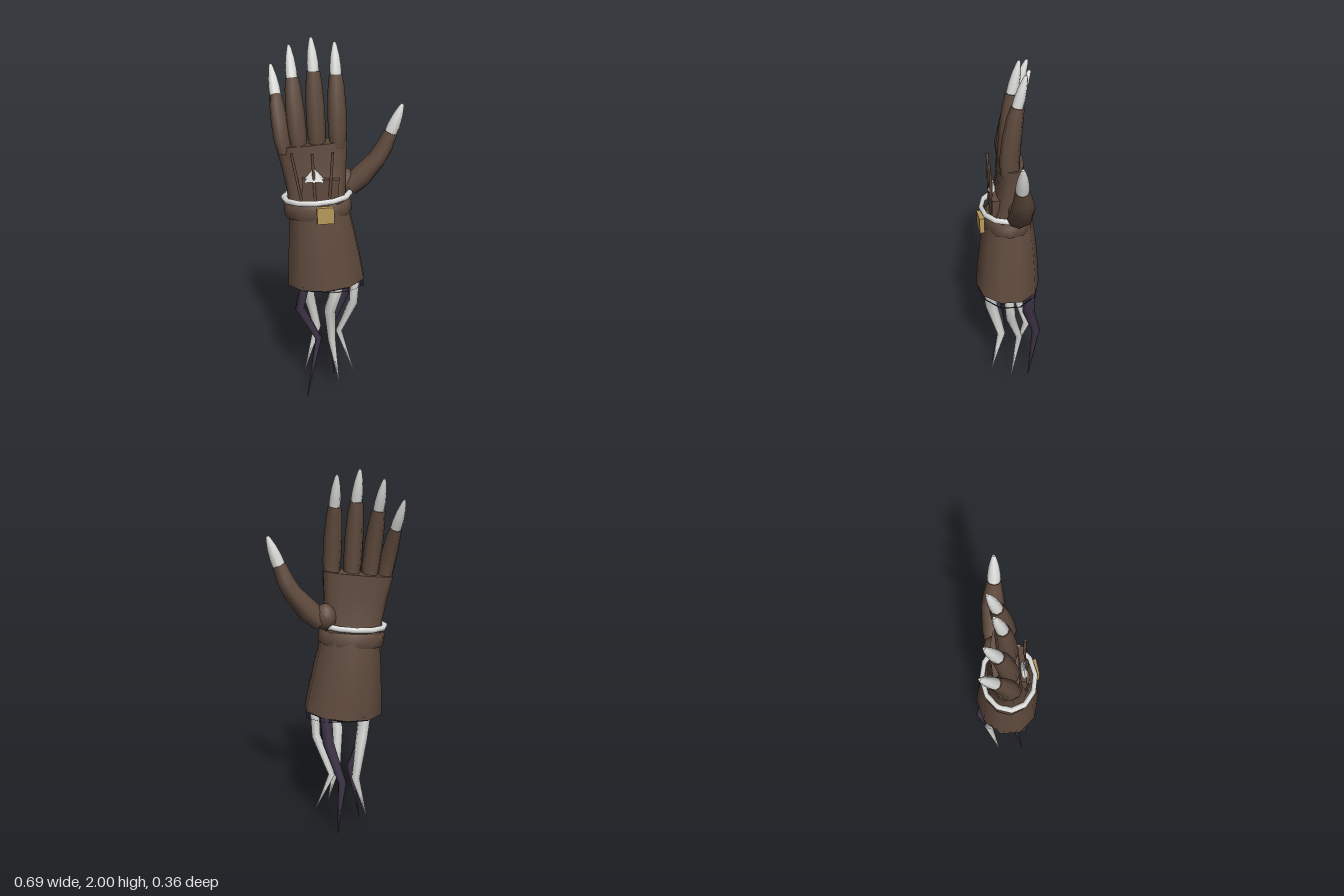
import * as THREE from 'three';

const mat = (name, color, side = THREE.FrontSide) => {
  const m = new THREE.MeshStandardMaterial({ color, side });
  m.name = name;
  return m;
};

// Skin of rings square to a path. Each section is [x, y, z, width radius, depth radius].
function loft(sections, sides = 10, { square = 1, caps = true } = {}) {
  const centers = sections.map(s => new THREE.Vector3(s[0], s[1], s[2]));
  const pos = [], idx = [], last = sections.length - 1;
  const Z = new THREE.Vector3(0, 0, 1);
  const pw = v => Math.sign(v) * Math.pow(Math.abs(v), square);
  const rings = sections.map((s, i) => {
    const t = centers[Math.min(i + 1, last)].clone().sub(centers[Math.max(i - 1, 0)]).normalize();
    const u = t.clone().cross(Z).normalize();
    const v = u.clone().cross(t);
    return Array.from({ length: sides }, (_, j) => {
      const a = Math.PI / 2 + j / sides * Math.PI * 2;
      return centers[i].clone().addScaledVector(u, pw(Math.cos(a)) * s[3])
        .addScaledVector(v, pw(Math.sin(a)) * (s[4] ?? s[3]));
    });
  });
  rings.forEach(r => r.forEach(p => pos.push(p.x, p.y, p.z)));
  for (let i = 0; i < last; i++) for (let j = 0; j < sides; j++) {
    const a = i * sides + j, b = i * sides + (j + 1) % sides;
    idx.push(a, a + sides, b, b, a + sides, b + sides);
  }
  // Caps get their own corners so their edges stay sharp
  if (caps) for (const end of [0, last]) {
    const base = pos.length / 3;
    [...rings[end], centers[end]].forEach(p => pos.push(p.x, p.y, p.z));
    for (let j = 0; j < sides; j++) {
      const a = base + j, b = base + (j + 1) % sides, c = base + sides;
      if (end) idx.push(c, b, a); else idx.push(c, a, b);
    }
  }
  const g = new THREE.BufferGeometry();
  g.setAttribute('position', new THREE.Float32BufferAttribute(pos, 3));
  g.setIndex(idx);
  g.computeVertexNormals();
  return g;
}

export function createModel() {
  const group = new THREE.Group();
  const leather = mat('brown leather', 0x5f4a3d);
  const bone = mat('pale bone', 0xdcdcda);
  const dark = mat('dark purple', 0x40364a);
  const gold = mat('brass', 0xb8995a);
  const lining = mat('navy lining', 0x1c1a33, THREE.DoubleSide);

  const add = (name, geo, material, x = 0, y = 0, z = 0) => {
    const m = new THREE.Mesh(geo, material);
    m.name = name;
    m.position.set(x, y, z);
    group.add(m);
    return m;
  };

  // Flared cuff with a dark lining
  add('cuff', loft([
    [-0.055, 0.715, 0.005, 0.215, 0.176],
    [-0.066, 0.84, 0.003, 0.202, 0.168],
    [-0.08, 1.0, 0, 0.18, 0.152],
    [-0.092, 1.13, 0, 0.16, 0.132]], 10, { caps: false }), leather);
  add('cuffLining', loft([
    [-0.055, 0.704, 0.005, 0.198, 0.16],
    [-0.066, 0.84, 0.003, 0.185, 0.152],
    [-0.08, 1.0, 0, 0.16, 0.135]], 10, { caps: false }), lining);
  add('cuffHem', loft([
    [-0.055, 0.715, 0.005, 0.215, 0.176],
    [-0.056, 0.704, 0.005, 0.198, 0.16]], 10, { caps: false }), lining);
  const stump = add('stump', new THREE.SphereGeometry(0.1, 12, 8), bone, -0.055, 0.78, 0);
  stump.scale.set(1.35, 0.9, 1.15);

  // Wrist strap, buckle and cord
  add('strap', loft([
    [-0.094, 1.085, 0, 0.15, 0.115], [-0.095, 1.1, 0, 0.178, 0.133],
    [-0.1, 1.155, 0, 0.178, 0.133], [-0.101, 1.172, 0, 0.15, 0.115]], 12), leather);
  const buckle = add('buckle', new THREE.BoxGeometry(0.088, 0.088, 0.026), gold, -0.055, 1.137, 0.147);
  buckle.rotation.set(0, 0.12, 0.03);
  const cord = add('cord', new THREE.TorusGeometry(0.17, 0.016, 8, 12), bone, -0.103, 1.197, 0.005);
  cord.rotation.set(Math.PI / 2, 0.07, 0);
  cord.scale.set(1.02, 0.8, 1);

  // Palm
  add('palm', loft([
    [-0.1, 1.12, 0, 0.15, 0.115],
    [-0.105, 1.24, -0.008, 0.156, 0.083],
    [-0.115, 1.36, -0.012, 0.17, 0.07],
    [-0.127, 1.475, -0.015, 0.187, 0.066]], 14, { square: 0.75 }), leather);

  // Fingers: base x, y, top x, y, z, claw tip x, y, z
  const fingers = {
    index: [0.009, 1.46, -0.003, 1.82, -0.04, -0.01, 1.975, -0.08],
    middle: [-0.097, 1.45, -0.115, 1.84, -0.025, -0.127, 2.0, -0.06],
    ring: [-0.19, 1.44, -0.224, 1.8, -0.055, -0.24, 1.955, -0.112],
    little: [-0.267, 1.43, -0.31, 1.71, -0.075, -0.337, 1.855, -0.14]
  };
  const claw = (name, b, t, r) => {
    const at = (k, radius) => [0, 1, 2].map(i => b[i] + (t[i] - b[i]) * k).concat(radius);
    add(name, loft([at(-0.1, r), at(0.25, r), at(0.6, r * 0.78), at(0.9, r * 0.42), at(1, r * 0.22)], 8), bone);
  };
  for (const [name, [bx, by, tx, ty, tz, cx, cy, cz]] of Object.entries(fingers)) {
    const mid = k => [bx + (tx - bx) * k, by + (ty - by) * k];
    const w = name === 'little' ? 0.043 : 0.048;
    add(name + 'Finger', loft([
      [bx, by, -0.005, w * 0.85, 0.05],
      [...mid(0.2), 0, w, 0.052],
      [...mid(0.55), tz * 0.3, w, 0.049],
      [...mid(0.85), tz * 0.72, w * 0.86, 0.042],
      [tx, ty, tz, w * 0.7, 0.034]], 8), leather);
    claw(name + 'Claw', [tx, ty, tz], [cx, cy, cz], 0.029);
  }

  // Thumb
  const ball = add('thumbBase', new THREE.SphereGeometry(0.065, 12, 8), leather, 0.045, 1.255, -0.05);
  ball.scale.set(0.9, 1.1, 0.95);
  add('thumb', loft([
    [0.07, 1.23, -0.04, 0.054, 0.06],
    [0.13, 1.285, -0.045, 0.06, 0.064],
    [0.215, 1.385, -0.045, 0.048, 0.06],
    [0.25, 1.45, -0.04, 0.044, 0.05],
    [0.28, 1.528, -0.033, 0.036, 0.036]], 8), leather);
  claw('thumbClaw', [0.28, 1.525, -0.033], [0.336, 1.675, -0.028], 0.033);

  // Pouch with rods and a pale point on the back of the hand
  const pouch = add('pouch', new THREE.BoxGeometry(0.19, 0.13, 0.04), leather, -0.082, 1.245, 0.07);
  pouch.rotation.z = -0.04;
  for (const [x0, y0, x1, y1] of [[-0.18, 1.2, -0.227, 1.45], [-0.108, 1.2, -0.122, 1.445], [-0.035, 1.2, -0.018, 1.455]])
    add('rod', loft([[x0, y0, 0.09, 0.008], [x1, y1, 0.093, 0.008]], 6), leather);
  const point = add('palePoint', new THREE.ConeGeometry(0.062, 0.075, 8), bone, -0.113, 1.335, 0.08);
  point.scale.z = 0.35;

  // Jointed tendrils hanging from the cuff
  const tendril = (name, material, pts, radii) =>
    add(name, loft(pts.map((p, i) => [...p, radii[i]]), 6), material);
  const thick = [0.036, 0.036, 0.034, 0.024, 0.002], thin = [0.028, 0.028, 0.027, 0.019, 0.002];
  // Paths run downward, so they are listed tip first
  const hang = (name, material, r, pts) => tendril(name, material, pts.reverse(), [...r].reverse());
  hang('frontDarkTendril', dark, thin, [[-0.15, 0.82, 0.06], [-0.165, 0.72, 0.07], [-0.2, 0.57, 0.08], [-0.1, 0.355, 0.035], [-0.165, 0, 0.09]]);
  hang('backDarkTendril', dark, thick, [[0.03, 0.82, -0.09], [0.05, 0.7, -0.105], [0.04, 0.57, -0.105], [-0.03, 0.355, -0.16], [-0.012, 0.02, -0.115]]);
  hang('frontPaleTendril', bone, thick, [[0.01, 0.82, 0.1], [0.003, 0.7, 0.11], [-0.035, 0.57, 0.1], [-0.025, 0.355, 0.045], [0.015, 0.12, 0.105]]);
  hang('backPaleTendril', bone, thick, [[-0.15, 0.82, -0.05], [-0.165, 0.7, -0.05], [-0.15, 0.57, -0.055], [-0.11, 0.355, -0.115], [-0.18, 0.095, -0.06]]);
  hang('sidePaleTendril', bone, thin, [[0.08, 0.82, 0.01], [0.1, 0.7, 0.01], [0.095, 0.57, 0], [0.015, 0.355, -0.055], [0.097, 0.125, 0]]);

  return group;
}
